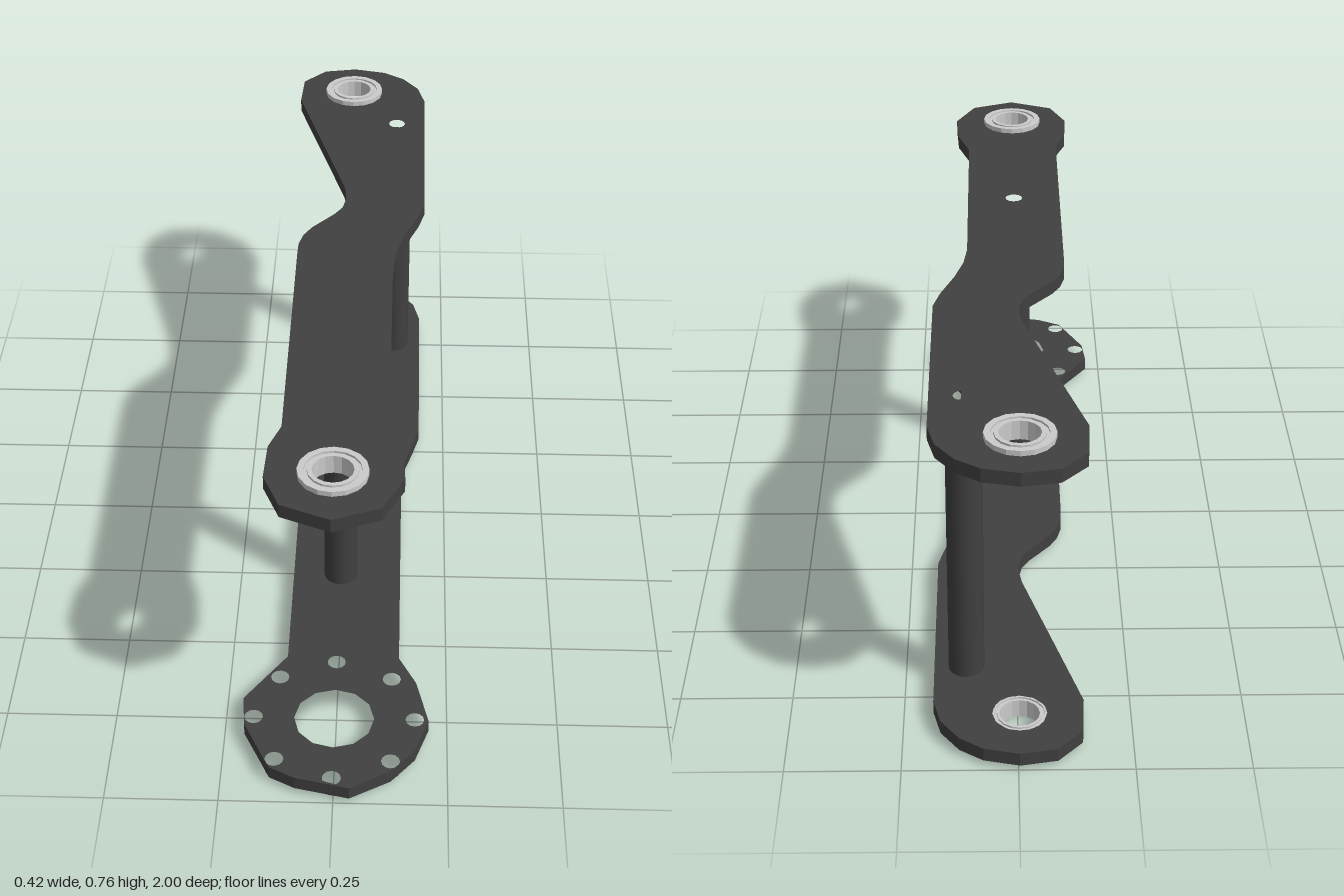
import * as THREE from 'three';

const dark = new THREE.MeshStandardMaterial({ color: 0x404040, flatShading: true });
const darkSmooth = new THREE.MeshStandardMaterial({ color: 0x404040 });
const metal = new THREE.MeshStandardMaterial({ color: 0xcccccc, flatShading: true });

const CX = -0.004;                 // common axis of the arm
const FRONT_Z = 0.787, BACK_Z = -0.863;
const THICK = 0.032, LOW_Y = 0.012, HIGH_Y = 0.712;
const RODS = [[CX, 0.295], [0.113, -0.695]];
const BOLT_R = 0.021, SEAT_R = 0.06;

// Outline points are [x, z]; the back half is shared by both plates.
const backLeft = [
  [-0.118, -0.04], [-0.117, -0.095], [-0.107, -0.135], [-0.088, -0.17], [-0.035, -0.235],
  [-0.017, -0.265], [-0.01, -0.3], [-0.01, -0.335], [-0.016, -0.37], [-0.145, -0.82],
  [-0.14, -0.925], [-0.085, -0.985], [-0.004, -1],
];
const backRight = [
  [0.075, -0.982], [0.127, -0.947], [0.168, -0.89], [0.185, -0.82], [0.185, -0.29], [0.17, -0.23],
];
const upperFront = [
  [0.138, -0.143], [0.118, -0.07], [0.11, 0], [0.11, 0.6], [0.138, 0.69], [0.144, 0.8],
  [0.098, 0.895], [-0.004, 0.935], [-0.11, 0.89], [-0.147, 0.8], [-0.143, 0.7], [-0.118, 0.63],
];
const lowerFront = [
  [0.15, -0.16], [0.142, -0.09], [0.14, -0.03], [0.14, 0.59], [0.18, 0.67], [0.208, 0.79],
  [0.178, 0.88], [0.125, 0.945], [0.035, 0.997], [-0.085, 0.97], [-0.142, 0.94],
  [-0.205, 0.81], [-0.212, 0.73], [-0.155, 0.645], [-0.118, 0.59],
];

function plate(name, front, holes, y) {
  const toShape = ([x, z]) => new THREE.Vector2(x, -z);
  const shape = new THREE.Shape([...backLeft, ...backRight, ...front].map(toShape));
  for (const [x, z, r] of holes) {
    shape.holes.push(new THREE.Path().absarc(x, -z, r, 0, Math.PI * 2, true));
  }
  const geo = new THREE.ExtrudeGeometry(shape, { depth: THICK, bevelEnabled: false, curveSegments: 6 });
  geo.rotateX(-Math.PI / 2);
  const mesh = new THREE.Mesh(geo, dark);
  mesh.name = name;
  mesh.position.y = y;
  return mesh;
}

// Solid of revolution from a closed [radius, y] profile, listed counterclockwise
function ring(profile, segments, material) {
  const pts = [...profile, profile[0]].map(([r, y]) => new THREE.Vector2(r, y));
  return new THREE.Mesh(new THREE.LatheGeometry(pts, segments), material);
}

// Flanged bearing: barrel in the plate, collar with a groove between its races
function bearing(name, z, upper) {
  const t = THICK, f = 0.012;
  const mesh = ring([
    [0.044, 0], [0.05, 0], [0.05, 0.004], [0.055, 0.004], [0.055, 0], [SEAT_R, 0],
    [SEAT_R, t], [0.075, t], [0.075, t + f], [0.061, t + f], [0.061, t + 0.007],
    [0.054, t + 0.007], [0.054, t + f], [0.044, t + f],
  ], 16, metal);
  mesh.name = name;
  mesh.position.set(CX, upper ? HIGH_Y : LOW_Y + THICK, z);
  if (!upper) mesh.rotation.x = Math.PI;
  return mesh;
}

// Hollow spacer rod between the plates
function rod(name, [x, z]) {
  const group = new THREE.Group();
  group.name = name;
  const h = HIGH_Y - LOW_Y - THICK;
  const outer = new THREE.Mesh(new THREE.CylinderGeometry(0.04, 0.04, h, 24, 1, true), darkSmooth);
  const boreMaterial = darkSmooth.clone();
  boreMaterial.side = THREE.BackSide;
  const bore = new THREE.Mesh(new THREE.CylinderGeometry(BOLT_R, BOLT_R, h, 16, 1, true), boreMaterial);
  outer.name = 'rodWall';
  bore.name = 'rodBore';
  group.add(outer, bore);
  for (const s of [-1, 1]) {
    const end = new THREE.Mesh(new THREE.RingGeometry(BOLT_R, 0.04, 24), dark);
    end.name = 'rodEnd';
    end.rotation.x = -s * Math.PI / 2;
    end.position.y = s * h / 2;
    group.add(end);
  }
  group.position.set(x, LOW_Y + THICK + h / 2, z);
  return group;
}

export function createModel() {
  const model = new THREE.Group();
  model.name = 'linkArm';

  // Holes for the rods and the rear bearing are common to both plates
  const shared = [...RODS.map(([x, z]) => [x, z, BOLT_R]), [CX, BACK_Z, SEAT_R]];
  const boltCircle = [];
  for (let i = 0; i < 8; i++) {
    const a = i * Math.PI / 4;
    boltCircle.push([CX + 0.181 * Math.cos(a), FRONT_Z + 0.181 * Math.sin(a), BOLT_R]);
  }

  model.add(
    plate('upperPlate', upperFront, [...shared, [CX, FRONT_Z, SEAT_R]], HIGH_Y),
    plate('lowerPlate', lowerFront, [...shared, [CX, FRONT_Z, 0.09], ...boltCircle], LOW_Y),
    rod('frontRod', RODS[0]),
    rod('backRod', RODS[1]),
    bearing('upperFrontBearing', FRONT_Z, true),
    bearing('upperBackBearing', BACK_Z, true),
    bearing('lowerBackBearing', BACK_Z, false),
  );
  return model;
}
